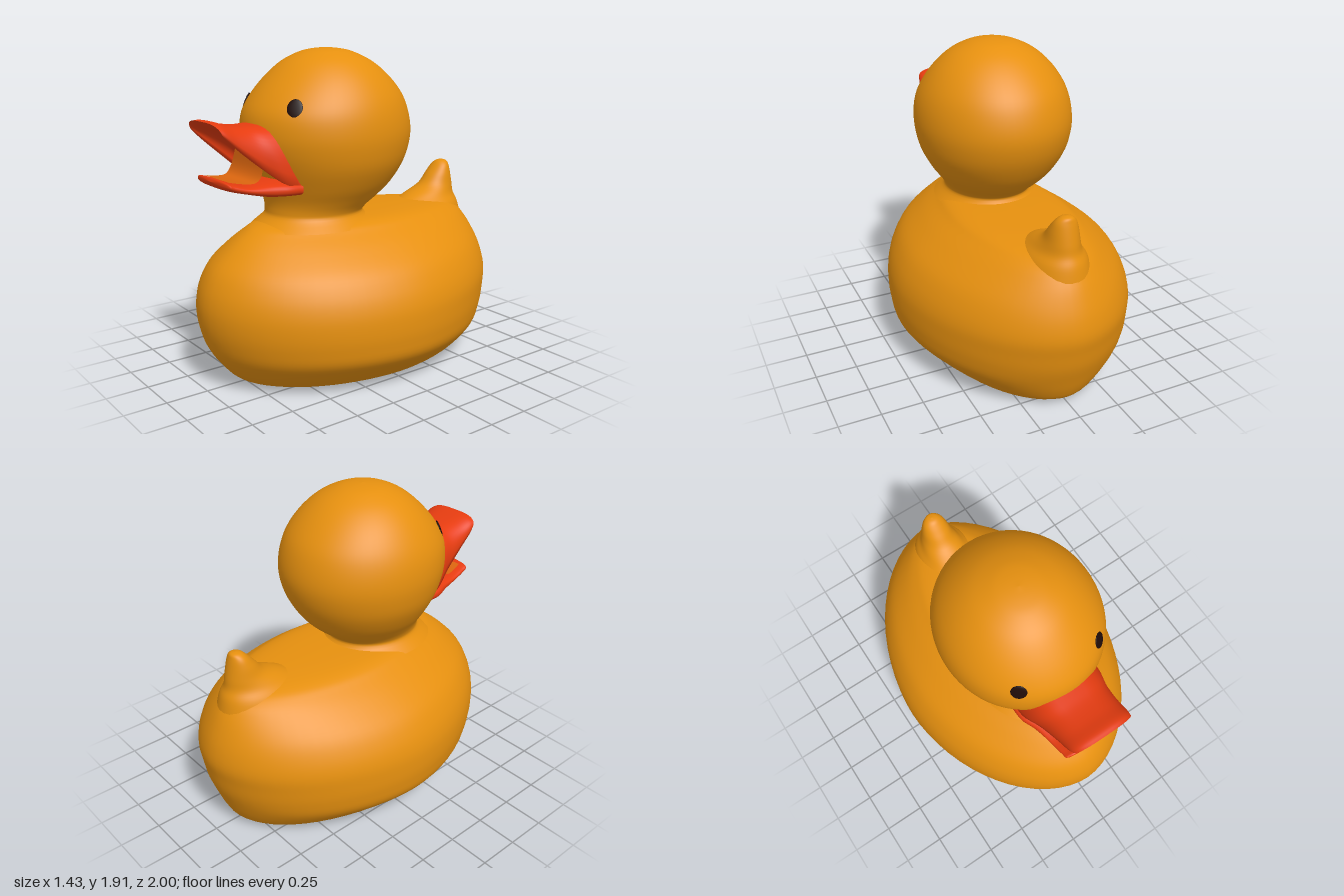
import * as THREE from 'three';

const V = (x, y, z) => new THREE.Vector3(x, y, z);
const spow = (v, p) => Math.sign(v) * Math.abs(v) ** p;

// Skin over closed rings of points; every ring has the same count
function loft(rings) {
  const n = rings[0].length, index = [];
  for (let i = 0; i < rings.length - 1; i++) {
    for (let j = 0; j < n; j++) {
      const a = i * n + j, b = i * n + (j + 1) % n;
      index.push(a, a + n, b, b, a + n, b + n);
    }
  }
  const geo = new THREE.BufferGeometry().setFromPoints(rings.flat());
  geo.setIndex(index);
  geo.computeVertexNormals();
  return geo;
}

// Horizontal oval: half width w, from zBack to zFront; p > 1 makes it more pointed
function oval(y, w, zFront, zBack, p = 1, n = 64) {
  const c = (zFront + zBack) / 2, r = (zFront - zBack) / 2;
  return Array.from({ length: n }, (_, j) => {
    const a = j / n * Math.PI * 2;
    return V(w * spow(Math.cos(a), p), y, c + r * spow(Math.sin(a), p));
  });
}

// Smooth stack of ovals through rows of [y, halfWidth, zFront, zBack]
function stack(rows, p, steps) {
  const side = new THREE.CatmullRomCurve3(rows.map(r => V(r[1], r[0], 0)), false, 'catmullrom');
  const ends = new THREE.CatmullRomCurve3(rows.map(r => V(r[2], r[0], r[3])), false, 'catmullrom');
  const rings = [];
  for (let i = 0; i <= steps; i++) {
    const s = side.getPoint(i / steps), e = ends.getPoint(i / steps);
    rings.push(oval(Math.max(0, s.y), Math.max(0, s.x), e.x, e.z, p));
  }
  return loft(rings);
}

export function createModel() {
  const group = new THREE.Group();
  const mat = (name, color, side = THREE.FrontSide) => {
    const m = new THREE.MeshStandardMaterial({ color, side });
    m.name = name;
    return m;
  };
  const yellow = mat('duck yellow', 0xe6900f);
  const red = mat('bill red', 0xe63c10, THREE.DoubleSide);
  const orange = mat('mouth orange', 0xdc660f, THREE.DoubleSide);
  const dark = mat('dark brown', 0x1f0c08);
  const add = (name, geo, material) => {
    const mesh = new THREE.Mesh(geo, material);
    mesh.name = name;
    group.add(mesh);
    return mesh;
  };

  // Body with a flat underside
  add('body', stack([
    [0, 0.45, 0.74, -0.77], [0.03, 0.505, 0.8, -0.845], [0.1, 0.59, 0.87, -0.89],
    [0.2, 0.685, 0.94, -0.93], [0.3, 0.71, 0.98, -0.965], [0.4, 0.715, 1, -0.985],
    [0.5, 0.705, 1, -1], [0.6, 0.67, 0.975, -0.985], [0.7, 0.605, 0.92, -0.95],
    [0.8, 0.49, 0.82, -0.9], [0.87, 0.39, 0.73, -0.84], [0.91, 0.325, 0.65, -0.72],
    [0.93, 0.22, 0.5, -0.45], [0.937, 0, 0.05, 0.05],
  ], 1.08, 60), yellow);
  add('underside', loft([oval(0, 0, 0, 0, 1.08), oval(0, 0.45, 0.74, -0.77, 1.08)]), yellow);
  const hole = add('bottomHole', new THREE.CylinderGeometry(0.047, 0.047, 0.004, 24), dark);
  hole.position.set(0, 0.001, -0.1);

  // Tail
  add('tail', stack([
    [0.78, 0.21, -0.36, -0.9], [0.88, 0.175, -0.38, -0.878], [0.94, 0.13, -0.47, -0.852],
    [1, 0.1, -0.6, -0.842], [1.07, 0.082, -0.665, -0.828], [1.12, 0.063, -0.71, -0.816],
    [1.147, 0.035, -0.74, -0.805], [1.155, 0, -0.773, -0.773],
  ], 1, 32), yellow);

  // Head and neck
  add('head', stack([
    [0.89, 0.33, 0.64, -0.12], [0.95, 0.272, 0.565, -0.05], [0.99, 0.275, 0.553, -0.075],
    [1.05, 0.315, 0.558, -0.155], [1.13, 0.375, 0.585, -0.235], [1.24, 0.435, 0.63, -0.305],
    [1.34, 0.462, 0.665, -0.343], [1.44, 0.47, 0.68, -0.355], [1.55, 0.455, 0.665, -0.335],
    [1.65, 0.415, 0.605, -0.29], [1.75, 0.345, 0.515, -0.205], [1.83, 0.255, 0.42, -0.105],
    [1.88, 0.155, 0.32, 0], [1.899, 0.08, 0.24, 0.08], [1.906, 0, 0.16, 0.16],
  ], 1, 56), yellow);

  // Eyes: thin ovals lying on the head
  for (const s of [-1, 1]) {
    const geo = new THREE.SphereGeometry(1, 24, 12).scale(0.045, 0.054, 0.008);
    const eye = add(s > 0 ? 'leftEye' : 'rightEye', geo, dark);
    eye.position.set(s * 0.257, 1.597, 0.548);
    eye.lookAt(s * (0.257 + 1.16), 1.597 + 0.75, 0.548 + 1.43);
  }

  // Upper bill: an arch swept from the face to the raised tip
  const curve = pts => new THREE.CatmullRomCurve3(pts.map(p => V(...p)), false, 'catmullrom');
  const edge = curve([[0.25, 1.14, 0.5], [0.24, 1.19, 0.6], [0.212, 1.265, 0.7],
    [0.195, 1.37, 0.83], [0.19, 1.44, 0.91], [0.183, 1.475, 0.945]]);
  const ridge = curve([[0, 1.51, 0.58], [0, 1.503, 0.69], [0, 1.502, 0.77],
    [0, 1.515, 0.86], [0, 1.537, 0.935], [0, 1.535, 0.975]]);
  const palate = curve([[0, 1.34, 0.58], [0, 1.36, 0.67], [0, 1.41, 0.75],
    [0, 1.465, 0.85], [0, 1.503, 0.93], [0, 1.53, 0.973]]);
  const upper = [];
  for (let i = 0; i <= 24; i++) {
    const t = i / 24, e = edge.getPoint(t), n = 24, ring = [];
    const arch = (top, inset, a) => {
      const k = Math.sin(a) ** 0.75;
      ring.push(V((e.x - inset) * spow(Math.cos(a), 0.65),
        THREE.MathUtils.lerp(e.y, top.y, k), THREE.MathUtils.lerp(e.z, top.z, k)));
    };
    for (let j = 0; j <= n; j++) arch(ridge.getPoint(t), 0, Math.PI * (1 - j / n));
    for (let j = 0; j <= n; j++) arch(palate.getPoint(t), 0.03 * (1 - t ** 4), Math.PI * j / n);
    upper.push(ring);
  }
  add('upperBill', loft(upper), red);

  // Lower bill: flattened rings of [halfWidth, middle y, z] and half height
  const lowerPath = curve([[0.262, 1.15, 0.5], [0.258, 1.152, 0.59], [0.222, 1.153, 0.68],
    [0.198, 1.163, 0.79], [0.185, 1.186, 0.88], [0.165, 1.203, 0.922], [0, 1.207, 0.937]]);
  const lowerHeight = curve([[0.05, 0, 0], [0.048, 0, 0], [0.043, 0, 0],
    [0.027, 0, 0], [0.026, 0, 0], [0.022, 0, 0], [0, 0, 0]]);
  const lower = [];
  for (let i = 0; i <= 30; i++) {
    const c = lowerPath.getPoint(i / 30), h = Math.max(0, lowerHeight.getPoint(i / 30).x);
    lower.push(Array.from({ length: 40 }, (_, j) => {
      const a = j / 40 * Math.PI * 2;
      return V(Math.max(0, c.x) * spow(Math.cos(a), 0.7), c.y - h * spow(Math.sin(a), 0.7), c.z);
    }));
  }
  add('lowerBill', loft(lower), red);

  // Mouth floor rising into the throat
  const floor = curve([[0.135, 1.217, 0.895], [0.155, 1.203, 0.82], [0.17, 1.204, 0.745],
    [0.17, 1.26, 0.705], [0.135, 1.38, 0.69]]);
  const sheet = new THREE.PlaneGeometry(2, 1, 8, 20), pos = sheet.attributes.position;
  for (let i = 0; i < pos.count; i++) {
    const f = floor.getPoint(pos.getY(i) + 0.5);
    pos.setXYZ(i, pos.getX(i) * f.x, f.y, f.z);
  }
  sheet.computeVertexNormals();
  add('mouthFloor', sheet, orange);

  return group;
}
